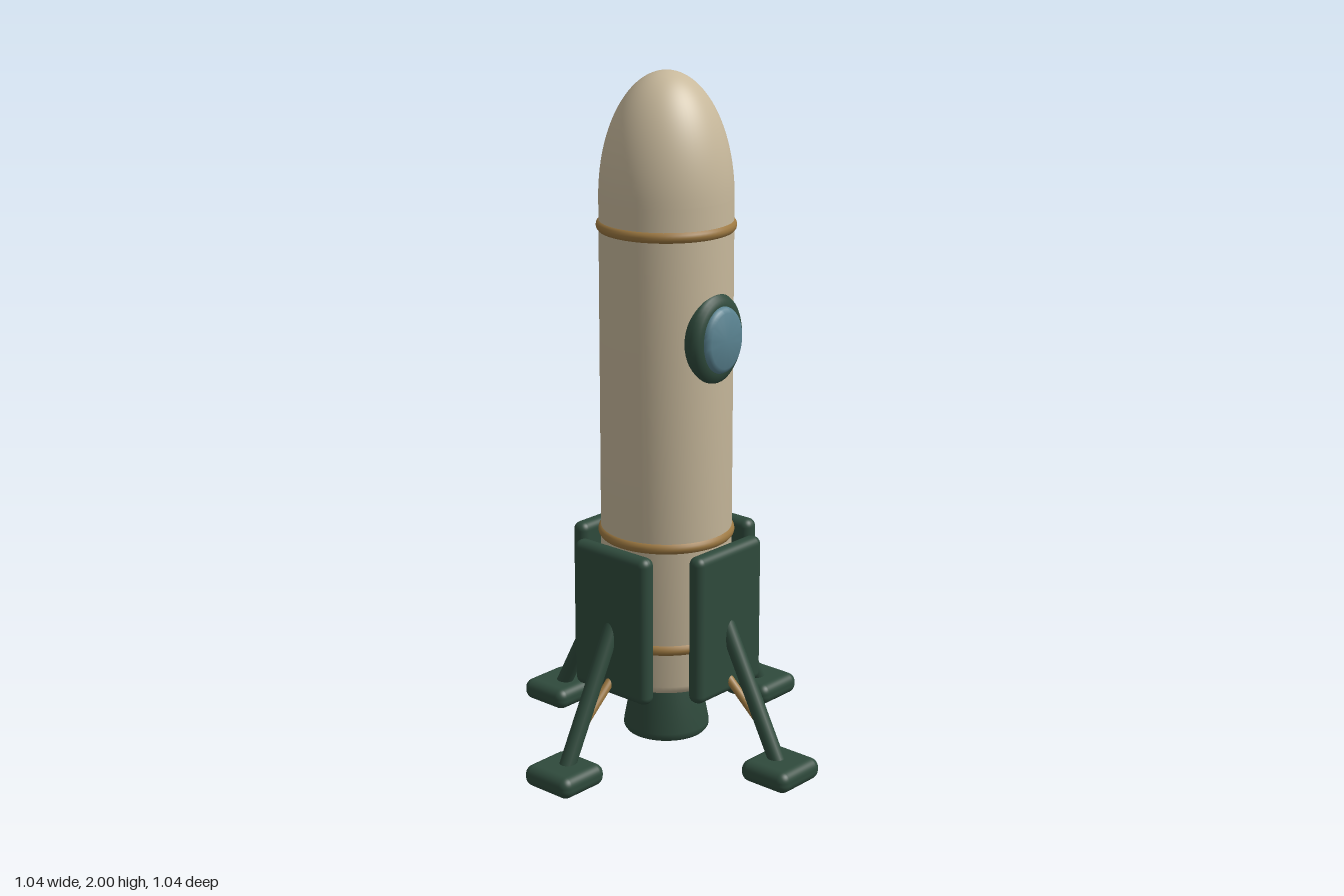
import * as THREE from 'three';
import { RoundedBoxGeometry } from 'three/addons/geometries/RoundedBoxGeometry.js';
import { toCreasedNormals } from 'three/addons/utils/BufferGeometryUtils.js';

function material(name, color) {
  const m = new THREE.MeshStandardMaterial({ color });
  m.name = name;
  return m;
}

const v2 = (p) => new THREE.Vector2(p[0], p[1]);

// Surface of revolution from [radius, height] points listed bottom to top
function lathe(points, segments = 64, crease = 0.6) {
  return toCreasedNormals(new THREE.LatheGeometry(points.map(v2), segments), crease);
}

export function createModel() {
  const cream = material('cream hull', 0xc8b99c);
  const green = material('dark green', 0x2f4a3c);
  const bronze = material('bronze trim', 0x9c7841);
  const glass = material('blue glass', 0x5a8391);

  const rocket = new THREE.Group();
  rocket.name = 'rocket';

  function add(parent, name, geometry, mat, x = 0, y = 0, z = 0) {
    const mesh = new THREE.Mesh(geometry, mat);
    mesh.name = name;
    mesh.position.set(x, y, z);
    parent.add(mesh);
    return mesh;
  }

  // Round-ended rod between two points
  function rod(parent, name, a, b, radius, mat) {
    const from = new THREE.Vector3(...a), to = new THREE.Vector3(...b);
    const dir = to.clone().sub(from);
    const mesh = add(parent, name, new THREE.CapsuleGeometry(radius, dir.length(), 8, 20), mat);
    mesh.position.copy(from).add(to).multiplyScalar(0.5);
    mesh.quaternion.setFromUnitVectors(new THREE.Vector3(0, 1, 0), dir.normalize());
  }

  // Hull with a softened lower edge
  add(rocket, 'hull', lathe([
    [0, 0.22], [0.165, 0.22], [0.178, 0.224], [0.187, 0.234], [0.19, 0.247], [0.19, 1.65],
  ]), cream);

  // Half-ellipsoid nose
  const nose = [];
  for (let i = 0; i <= 28; i++) {
    const t = (i / 28) * Math.PI / 2;
    nose.push(new THREE.Vector2(i === 28 ? 0 : 0.19 * Math.cos(t), 1.65 + 0.35 * Math.sin(t)));
  }
  add(rocket, 'nose', new THREE.LatheGeometry(nose, 64), cream);

  // Trim bands
  for (const y of [0.36, 0.67, 1.57]) {
    const band = add(rocket, 'trimBand', new THREE.TorusGeometry(0.18, 0.018, 14, 72), bronze, 0, y, 0);
    band.rotation.x = Math.PI / 2;
  }

  // Engine nozzle
  add(rocket, 'nozzle', lathe([
    [0, 0.042], [0.108, 0.042], [0.12, 0.046], [0.126, 0.055], [0.126, 0.068],
    [0.095, 0.23], [0, 0.23],
  ], 48), green);

  // Oval window: frame and glass turned to face forward
  const porthole = new THREE.Group();
  porthole.name = 'window';
  porthole.position.set(0, 1.27, 0);
  porthole.rotation.x = Math.PI / 2;
  porthole.scale.set(1, 1, 1.24);
  rocket.add(porthole);
  add(porthole, 'windowFrame', lathe([
    [0.1, 0.145], [0.105, 0.165], [0.105, 0.183], [0.101, 0.194], [0.092, 0.203], [0.08, 0.207], [0, 0.207],
  ], 48, 0.9), green);
  add(porthole, 'windowGlass', lathe([
    [0.077, 0.195], [0.077, 0.21], [0.073, 0.219], [0.064, 0.225], [0, 0.227],
  ], 48, 0.9), glass);

  // Four identical landing legs, each built along +x
  for (let i = 0; i < 4; i++) {
    const leg = new THREE.Group();
    leg.name = 'landingLeg';
    leg.rotation.y = i * Math.PI / 2;
    rocket.add(leg);
    add(leg, 'panel', new RoundedBoxGeometry(0.052, 0.445, 0.28, 5, 0.024), green, 0.225, 0.443, 0);
    add(leg, 'foot', new RoundedBoxGeometry(0.168, 0.064, 0.174, 5, 0.028), green, 0.437, 0.037, 0);
    rod(leg, 'strut', [0.425, 0.06, 0], [0.222, 0.45, 0], 0.024, green);
    rod(leg, 'brace', [0.345, 0.175, 0], [0.19, 0.31, 0], 0.013, bronze);
  }

  return rocket;
}
